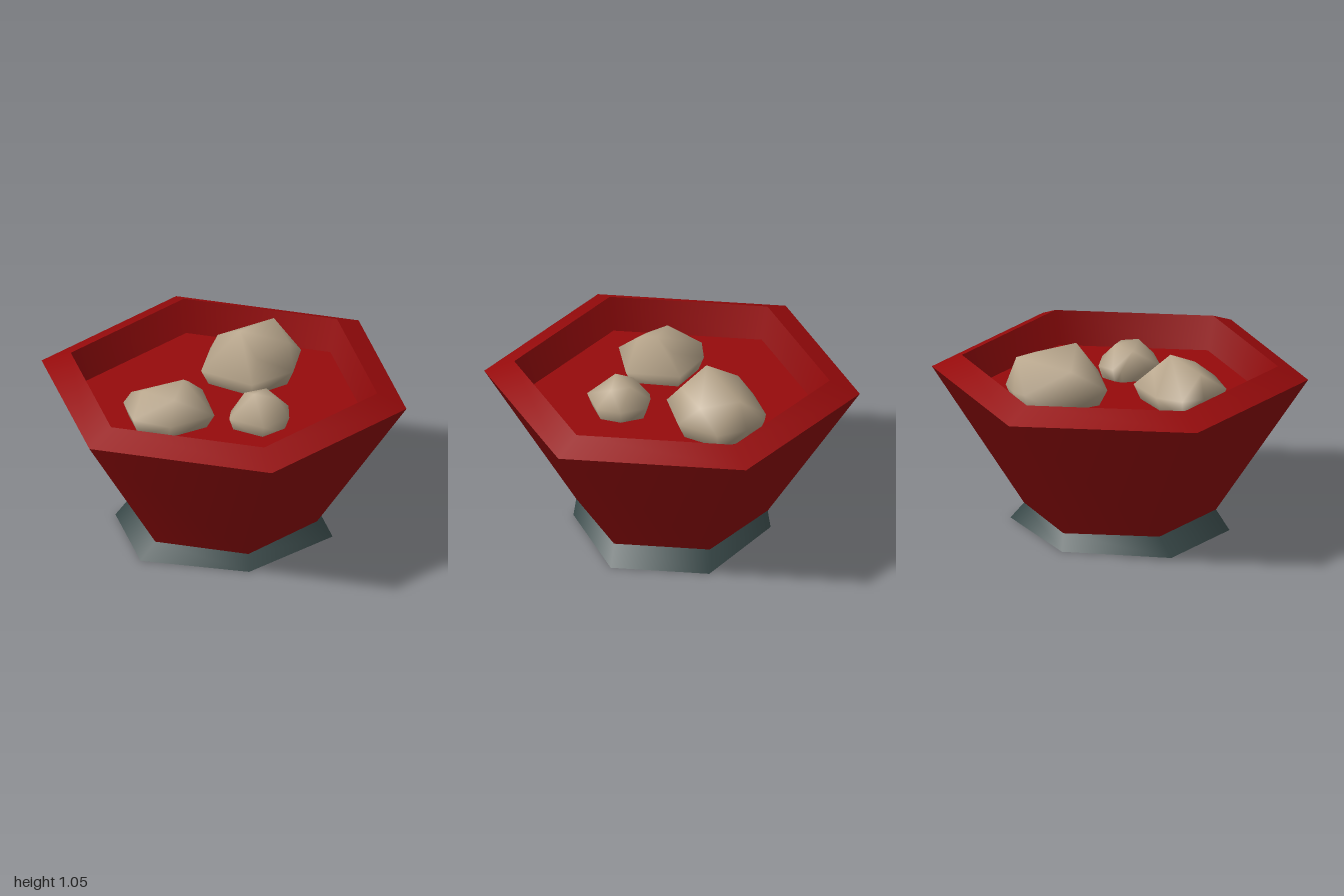
import * as THREE from 'three';
import { mergeVertices } from 'three/addons/utils/BufferGeometryUtils.js';
import { ConvexGeometry } from 'three/addons/geometries/ConvexGeometry.js';

const red = new THREE.MeshStandardMaterial({ color: 0x960a0b });
red.name = 'red glaze';
const slate = new THREE.MeshStandardMaterial({ color: 0x364646 });
slate.name = 'dark slate';
const beige = new THREE.MeshStandardMaterial({ color: 0xb8a68c });
beige.name = 'beige dumpling';

// One six-sided band between two radius/height pairs, with sharp ends
function band(name, from, to, material, reshape) {
  const points = [new THREE.Vector2(...from), new THREE.Vector2(...to)];
  const geometry = new THREE.LatheGeometry(points, 6);
  if (reshape) reshape(geometry.attributes.position);
  const mesh = new THREE.Mesh(geometry, material);
  mesh.name = name;
  return mesh;
}

// Rounded lump: widest outline [x, z] at height y, narrower base, and crown points
function lump(name, y, outline, crown) {
  const n = outline.length;
  const cx = outline.reduce((s, p) => s + p[0], 0) / n;
  const cz = outline.reduce((s, p) => s + p[1], 0) / n;
  const points = crown.map((p) => new THREE.Vector3(...p));
  for (const [x, z] of outline) {
    points.push(new THREE.Vector3(x, y, z));
    points.push(new THREE.Vector3(cx + (x - cx) * 0.8, 0.71, cz + (z - cz) * 0.8));
  }
  let geometry = new ConvexGeometry(points);
  geometry.deleteAttribute('normal');
  geometry = mergeVertices(geometry, 1e-4);
  geometry.computeVertexNormals();
  const mesh = new THREE.Mesh(geometry, beige);
  mesh.name = name;
  return mesh;
}

export function createModel() {
  const model = new THREE.Group();
  model.name = 'hexagonalBowl';

  // Foot: regular at the top, squashed front to back at the ground
  const squash = (position) => {
    for (let i = 0; i < position.count; i++) {
      if (position.getY(i) < 0.05) position.setZ(i, position.getZ(i) * 0.866);
    }
  };
  const foot = new THREE.Group();
  foot.name = 'foot';
  foot.add(
    band('footUnderside', [0, 0], [0.606, 0], slate, squash),
    band('footSide', [0.606, 0], [0.51, 0.1], slate, squash)
  );

  // Bowl: flaring wall, sloped rim, inner lip and floor
  const bowl = new THREE.Group();
  bowl.name = 'bowl';
  bowl.add(
    band('bowlWall', [0.51, 0.1], [1, 0.85], red),
    band('bowlRim', [1, 0.85], [0.84, 0.92], red),
    band('innerWall', [0.84, 0.92], [0.79, 0.74], red),
    band('bowlFloor', [0.79, 0.74], [0, 0.74], red)
  );

  // Three lumps resting on the floor
  const food = new THREE.Group();
  food.name = 'dumplings';
  food.add(
    lump('largeDumpling', 0.83,
      [[0.24, -0.53], [0.31, -0.53], [0.42, -0.45], [0.5, -0.3], [0.4, -0.08],
        [0.15, 0.01], [0.03, -0.12], [-0.07, -0.21], [0.04, -0.44]],
      [[0.14, 1.05, -0.2], [0.38, 0.98, -0.41], [0.41, 0.94, -0.2],
        [0.06, 0.95, -0.36], [0.2, 0.94, -0.07]]),
    lump('mediumDumpling', 0.82,
      [[-0.55, 0], [-0.48, -0.1], [-0.33, -0.13], [-0.11, -0.03], [-0.12, 0.26],
        [-0.38, 0.33], [-0.55, 0.2]],
      [[-0.25, 0.975, 0.11], [-0.2, 0.91, 0.02], [-0.47, 0.92, 0.08], [-0.33, 0.92, 0.22]]),
    lump('smallDumpling', 0.81,
      [[0.07, 0.11], [0.12, 0.1], [0.22, 0.11], [0.29, 0.24], [0.26, 0.37],
        [0.1, 0.44], [-0.05, 0.3], [-0.02, 0.22]],
      [[0.09, 0.935, 0.29], [0.18, 0.91, 0.2], [0.21, 0.9, 0.3], [0.06, 0.9, 0.2]])
  );

  model.add(foot, bowl, food);
  return model;
}
